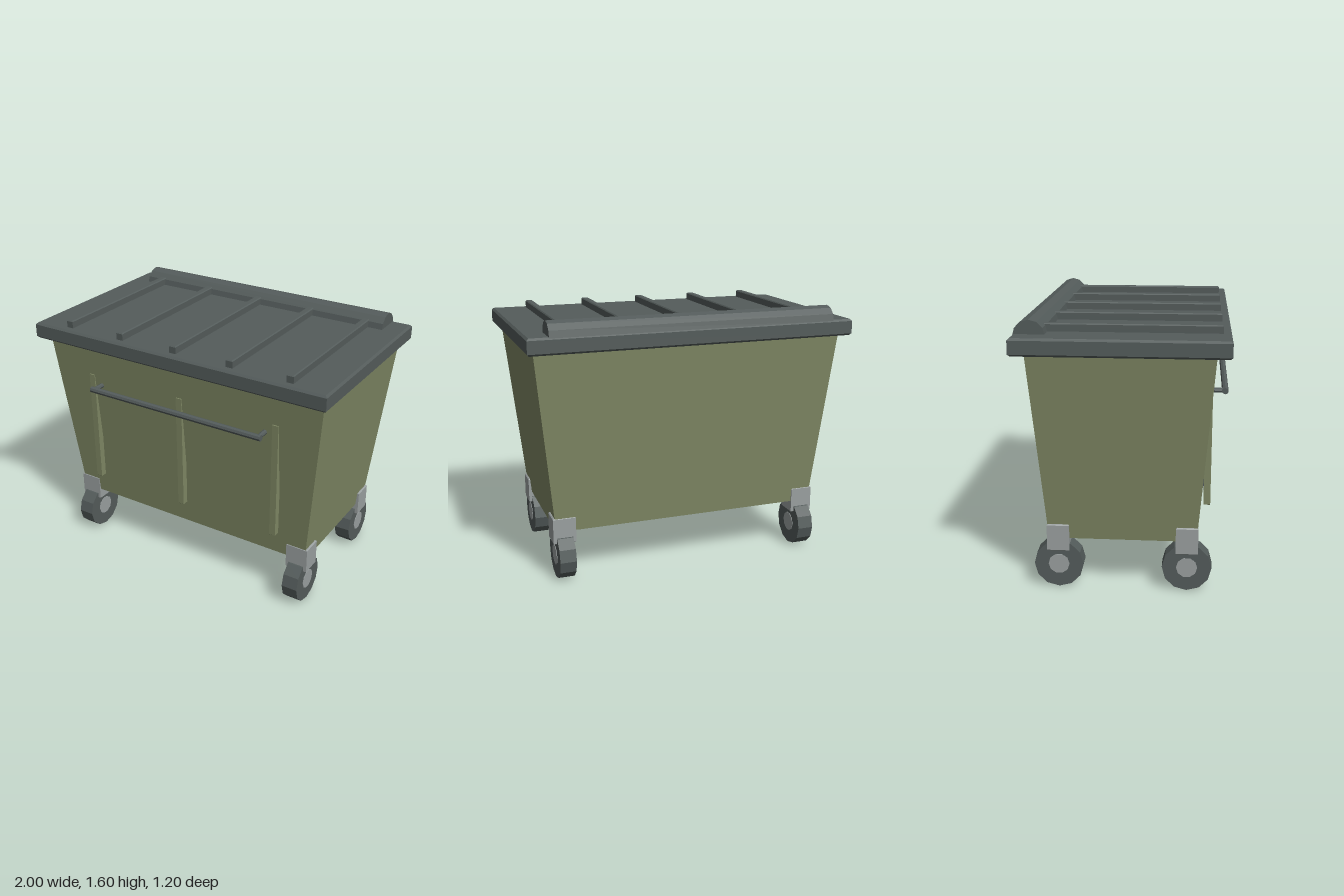
import * as THREE from 'three';
import { mergeVertices } from 'three/addons/utils/BufferGeometryUtils.js';

const mat = (name, color) => {
  const m = new THREE.MeshStandardMaterial({ color, flatShading: true });
  m.name = name;
  return m;
};

// Box with chamfered edges: an extruded plan with bevels on every side
function chamferBox(w, h, d, b) {
  const x = w / 2 - b, z = d / 2 - b;
  const s = new THREE.Shape();
  s.moveTo(-x, -z);
  s.lineTo(x, -z);
  s.lineTo(x, z);
  s.lineTo(-x, z);
  s.closePath();
  const g = new THREE.ExtrudeGeometry(s, {
    depth: h - 2 * b, bevelEnabled: true, bevelThickness: b, bevelSize: b, bevelSegments: 1,
  });
  g.translate(0, 0, b - h / 2);
  g.rotateX(-Math.PI / 2);
  return g;
}

export function createModel() {
  const olive = mat('olive paint', 0x7f8864);
  const dark = mat('dark plastic', 0x545c5b);
  const steel = mat('grey steel', 0x9aa0a0);
  const root = new THREE.Group();
  root.name = 'wheeledContainer';

  const add = (name, geo, material, x, y, z, parent = root) => {
    const m = new THREE.Mesh(geo, material);
    m.name = name;
    m.position.set(x, y, z);
    parent.add(m);
    return m;
  };
  // Cylinder lying along x
  const rod = (r, len, sides) => new THREE.CylinderGeometry(r, r, len, sides).rotateZ(Math.PI / 2);

  // Tapered body: the box narrows toward its floor
  const body = new THREE.BoxGeometry(1.91, 1.12, 1.04);
  const p = body.attributes.position;
  for (let i = 0; i < p.count; i++) {
    if (p.getY(i) < 0) {
      p.setX(i, Math.sign(p.getX(i)) * 0.84);
      p.setZ(i, Math.sign(p.getZ(i)) * 0.43);
    }
  }
  body.computeVertexNormals();
  add('body', body, olive, 0, 0.87, 0);

  // Upright ribs on the front wall
  for (const x of [-0.655, 0, 0.655]) {
    add('frontRib', chamferBox(0.04, 0.74, 0.04, 0.003), olive, x, 0.845, 0.486);
  }

  // Lid with raised ribs and the rounded hinge cover
  add('lid', chamferBox(2, 0.1, 1.2, 0.012), dark, 0, 1.47, 0);
  for (let i = -2; i <= 2; i++) {
    add('lidRib', chamferBox(0.044, 0.055, 1.05, 0.006), dark, i * 0.38, 1.538, 0.028);
  }
  add('hingeCover', rod(0.09, 1.75, 12), dark, 0, 1.51, -0.505);

  // Push handle with two posts to the wall
  add('handleBar', rod(0.019, 1.21, 8), dark, 0, 1.152, 0.577);
  for (const x of [-0.585, 0.585]) {
    const post = new THREE.CylinderGeometry(0.015, 0.015, 0.1, 8).rotateX(Math.PI / 2);
    add('handlePost', post, dark, x, 1.152, 0.53);
  }

  // Four casters
  for (const sx of [-1, 1]) {
    for (const sz of [-1, 1]) {
      const caster = new THREE.Group();
      caster.name = 'caster';
      caster.position.set(sx * 0.79, 0, sz * 0.375);
      root.add(caster);
      add('bracket', chamferBox(0.14, 0.165, 0.13, 0.006), steel, 0, 0.317, 0, caster);
      add('wheel', rod(0.145, 0.1, 12), dark, 0, 0.146, 0, caster);
      add('hub', rod(0.062, 0.106, 10), steel, 0, 0.146, 0, caster);
    }
  }
  return root;
}
